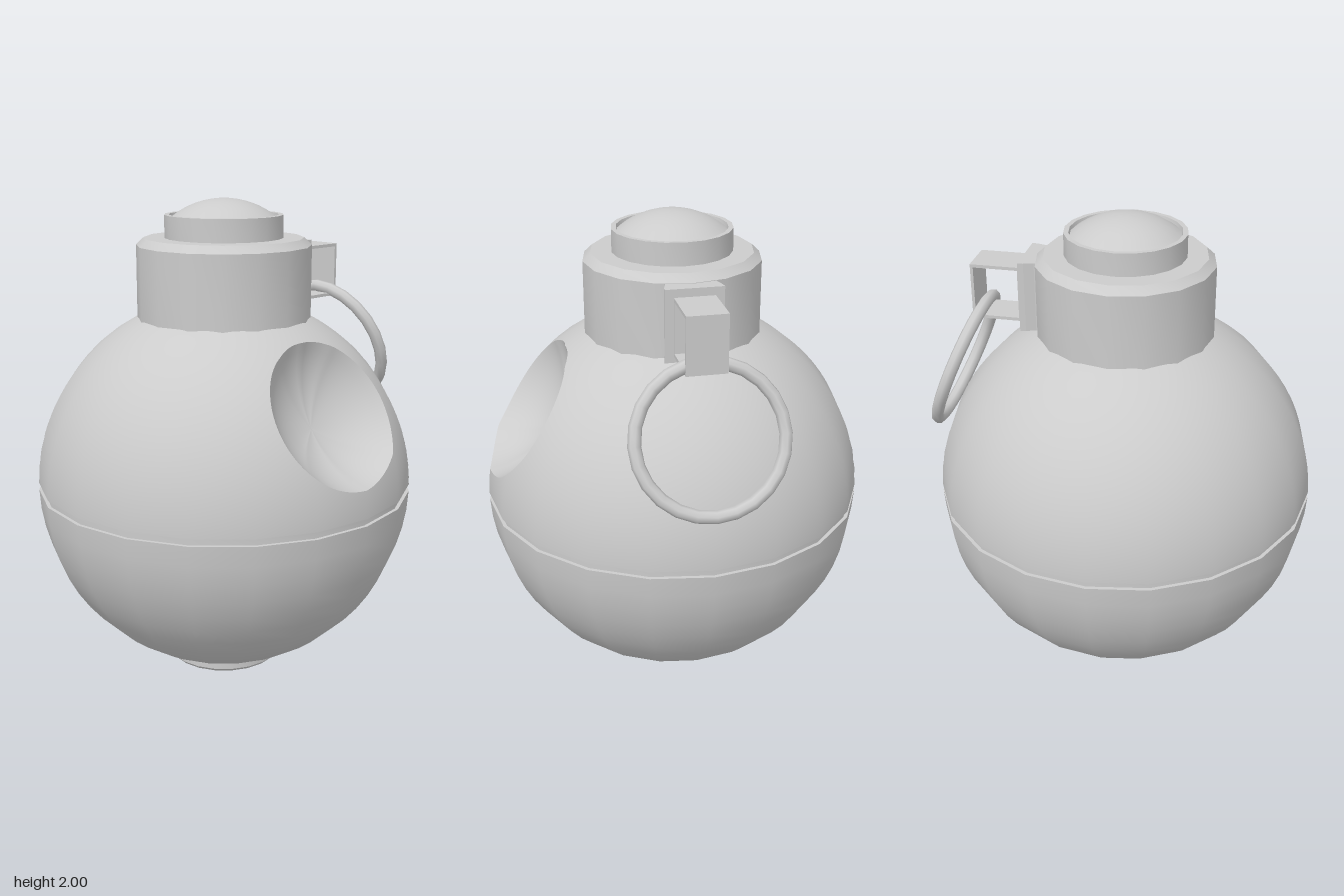
import * as THREE from 'three';
import { toCreasedNormals } from 'three/addons/utils/BufferGeometryUtils.js';

const SIDES = 20, R = 0.795, CY = 0.805, AXIS_X = -0.015;
const material = new THREE.MeshStandardMaterial({ color: 0xcccccc });

function add(parent, name, geometry) {
  const mesh = new THREE.Mesh(geometry, material);
  mesh.name = name;
  parent.add(mesh);
  return mesh;
}

// Turned part from [radius, height] points, bottom to top
function turned(points, sides, crease = 0.5) {
  const profile = points.map(([x, y]) => new THREE.Vector2(x, y));
  return toCreasedNormals(new THREE.LatheGeometry(profile, sides), crease);
}

// Surface of loops: at(i / cols, j / rows) gives a point, loops close in i
function loops(cols, rows, at) {
  const pos = [], index = [], n = rows + 1;
  for (let i = 0; i < cols; i++) {
    for (let j = 0; j <= rows; j++) pos.push(...at(i / cols, j / rows).toArray());
    const k = (i + 1) % cols;
    for (let j = 0; j < rows; j++) {
      const a = i * n + j, b = k * n + j;
      index.push(a, a + 1, b + 1, a, b + 1, b);
    }
  }
  const g = new THREE.BufferGeometry();
  g.setAttribute('position', new THREE.Float32BufferAttribute(pos, 3));
  g.setIndex(index);
  return g;
}

// Point of the many-sided ball in a given direction
function onBall(d) {
  const step = (2 * Math.PI) / SIDES;
  const az = Math.atan2(d.x, d.z) + 2 * Math.PI;
  const f = Math.cos(step / 2) / Math.cos((az % step) - step / 2);
  return new THREE.Vector3(d.x * R * f, CY + d.y * R, d.z * R * f);
}

// Upper half with a round dish pressed into its front
function addUpperBody(body) {
  const tilt = 0.569, rimAngle = 0.407, depth = 0.14;
  const rimR = R * Math.sin(rimAngle);
  const bowlR = (rimR * rimR + depth * depth) / (2 * depth);
  const axis = new THREE.Vector3(0, Math.sin(tilt), Math.cos(tilt));
  const centre = axis.clone().multiplyScalar(R * Math.cos(rimAngle));
  centre.y += CY;
  const low = Math.asin((0.82 - CY) / R);

  // Direction on the arc from the dish axis to the seam, t = 0 at the dish rim
  const direction = (u, t) => {
    const phi = u * 2 * Math.PI;
    const end = new THREE.Vector3(Math.cos(low) * Math.sin(phi), Math.sin(low), Math.cos(low) * Math.cos(phi));
    const total = axis.angleTo(end);
    const side = end.addScaledVector(axis, -Math.cos(total)).normalize();
    const a = rimAngle + (total - rimAngle) * t;
    return side.multiplyScalar(Math.sin(a)).addScaledVector(axis, Math.cos(a));
  };

  const shell = loops(SIDES * 8, 48, (u, t) => onBall(direction(u, t)));
  const p = shell.attributes.position;
  const normals = [];
  for (let i = 0; i < p.count; i++) {
    normals.push(...new THREE.Vector3(p.getX(i), p.getY(i) - CY, p.getZ(i)).normalize().toArray());
  }
  shell.setAttribute('normal', new THREE.Float32BufferAttribute(normals, 3));
  add(body, 'upperShell', shell);

  const dish = loops(SIDES * 8, 12, (u, s) => {
    const sink = Math.sqrt(bowlR ** 2 - (rimR * s) ** 2) - (bowlR - depth);
    return centre.clone().lerp(onBall(direction(u, 0)), s).addScaledVector(axis, -sink);
  });
  dish.computeVertexNormals();
  add(body, 'frontDish', dish);
}

export function createModel() {
  const model = new THREE.Group();
  model.name = 'roundCanister';

  const body = new THREE.Group();
  body.name = 'body';
  body.position.x = AXIS_X;
  model.add(body);
  addUpperBody(body);

  // Lower half, following the ball up to the seam
  const lower = [];
  const start = Math.asin((0.04 - CY) / R), end = Math.asin((0.79 - CY) / R);
  for (let i = 0; i <= 12; i++) {
    const a = start + ((end - start) * i) / 12;
    lower.push([R * Math.cos(a), CY + R * Math.sin(a)]);
  }
  add(body, 'lowerShell', turned([...lower, [0.78, 0.79]], SIDES));
  add(body, 'seamGroove', turned([[0.78, 0.785], [0.78, 0.82], [0.795, 0.82]], SIDES));

  // Foot
  add(body, 'foot', turned([[0, 0], [0.235, 0], [0.245, 0.012], [0.245, 0.05], [0.2, 0.05]], SIDES));

  // Neck with bevelled top
  add(body, 'neck', turned([[0.3, 1.51], [0.362, 1.51], [0.362, 1.812], [0.33, 1.842], [0.22, 1.842]], 16));

  // Cap collar and domed button
  add(body, 'capCollar', turned([[0.245, 1.84], [0.245, 1.935], [0.225, 1.935], [0.22, 1.915]], SIDES));
  const dome = [];
  const domeR = (0.222 ** 2 + 0.08 ** 2) / 0.16;
  const span = Math.asin(0.222 / domeR);
  for (let i = 0; i <= 8; i++) {
    const a = span * (1 - i / 8);
    dome.push([domeR * Math.sin(a), 2 - domeR * (1 - Math.cos(a))]);
  }
  add(body, 'domeButton', turned(dome, SIDES));

  // Bracket plate on the neck's left side, corners bevelled toward the neck
  const plate = new THREE.Shape([
    [0.25, -0.1], [0.335, -0.1], [0.375, -0.112], [0.398, -0.115],
    [0.398, 0.115], [0.375, 0.112], [0.335, 0.1], [0.25, 0.1],
  ].map(([x, y]) => new THREE.Vector2(x, y)));
  const plateGeo = new THREE.ExtrudeGeometry(plate, { depth: 0.29, bevelEnabled: false });
  plateGeo.rotateX(-Math.PI / 2);
  add(model, 'bracketPlate', plateGeo).position.y = 1.52;

  // Square loop, open from front to back
  const rect = (s, x0, y0, x1, y1) => s.moveTo(x0, y0).lineTo(x1, y0).lineTo(x1, y1).lineTo(x0, y1).closePath();
  const frame = rect(new THREE.Shape(), 0.395, 1.547, 0.606, 1.777);
  frame.holes.push(rect(new THREE.Path(), 0.411, 1.56, 0.594, 1.764));
  const frameGeo = new THREE.ExtrudeGeometry(frame, { depth: 0.16, bevelEnabled: false });
  add(model, 'squareLoop', frameGeo).position.z = -0.08;

  // Hanging pull ring
  const ringGeo = new THREE.TorusGeometry(0.286, 0.026, 8, 24);
  ringGeo.rotateY(Math.PI / 2);
  const ring = add(model, 'pullRing', ringGeo);
  ring.position.set(0.678, 1.32, 0);
  ring.rotation.z = 0.38;

  return model;
}
